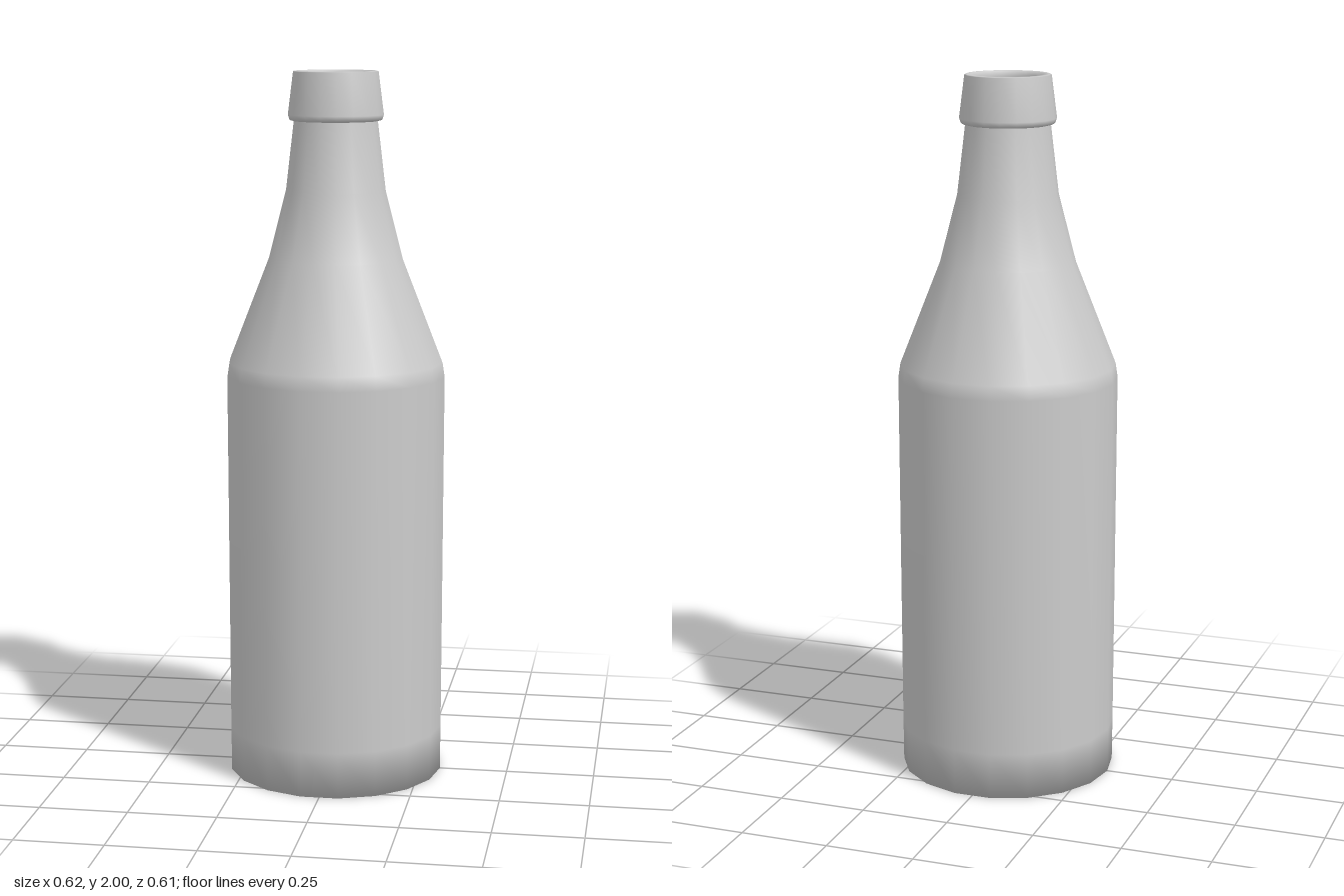
import * as THREE from 'three';

const SIDES = 18;

// Spin a [radius, height] profile, with a corner of the polygon on the x axis
function spin(name, profile, material) {
  const points = profile.map(([r, y]) => new THREE.Vector2(r, y));
  const mesh = new THREE.Mesh(new THREE.LatheGeometry(points, SIDES, Math.PI / 2), material);
  mesh.name = name;
  return mesh;
}

export function createModel() {
  const group = new THREE.Group();
  group.name = 'bottle';
  const glass = new THREE.MeshStandardMaterial({ color: 0xcccccc, side: THREE.DoubleSide });

  // Base, straight body, sloping shoulder and neck
  group.add(spin('body', [
    [0, 0], [0.306, 0], [0.307, 0.13], [0.31, 1.15], [0.304, 1.19],
    [0.19, 1.48], [0.141, 1.67], [0.118, 1.865],
  ], glass));

  // Flared lip, rolled over into the open mouth
  group.add(spin('lip', [
    [0.116, 1.862], [0.13, 1.866], [0.135, 1.88], [0.12, 1.998],
    [0.117, 2], [0.1, 2], [0.099, 1.985], [0.099, 1.86],
  ], glass));

  return group;
}
